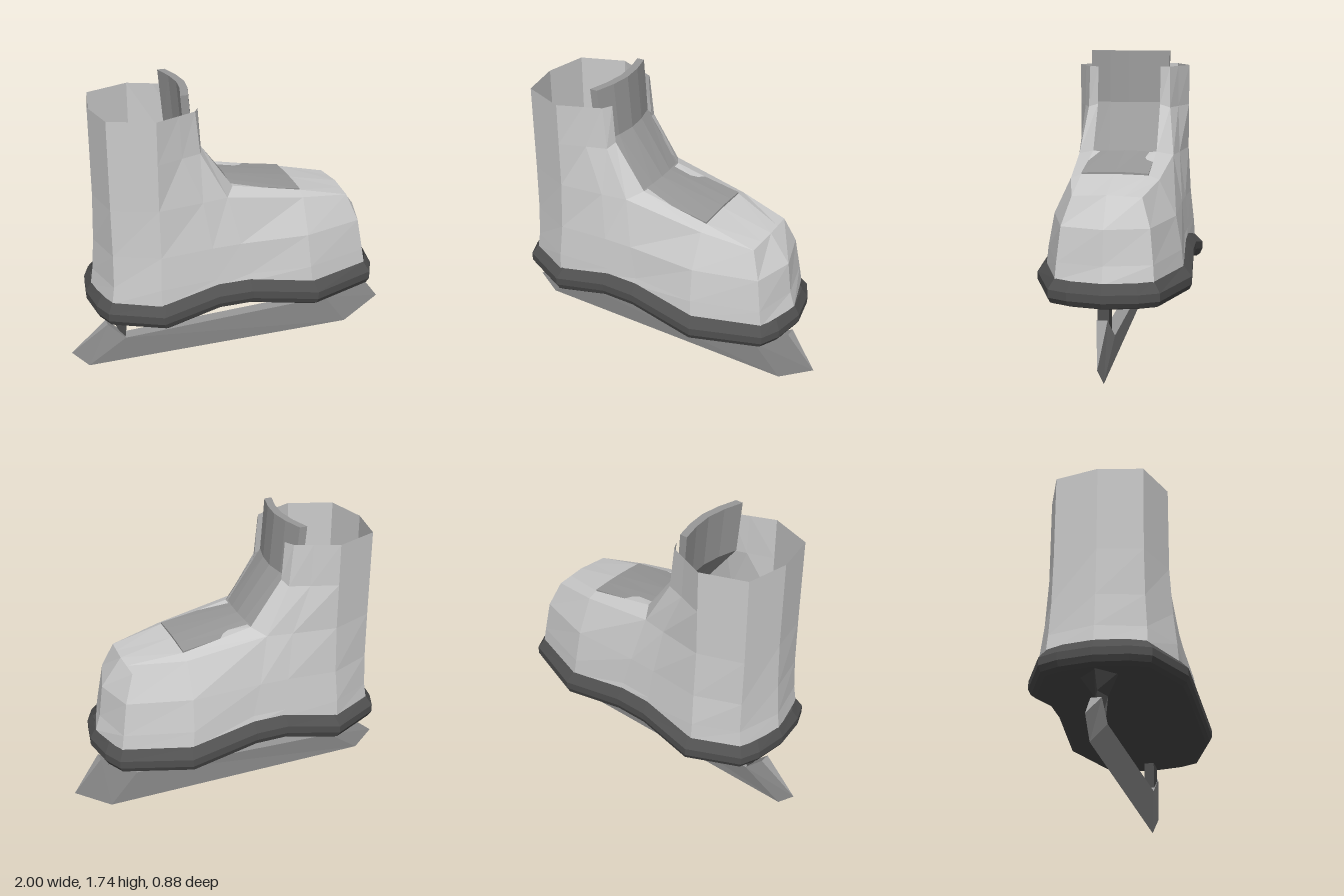
import * as THREE from 'three';

const material = (color) =>
  new THREE.MeshStandardMaterial({ color, flatShading: true, side: THREE.DoubleSide });

// Faceted surface through rows of [x, y, z] points
function surface(name, rows, mat) {
  const cols = rows[0].length;
  const index = [];
  for (let r = 0; r < rows.length - 1; r++) {
    for (let c = 0; c < cols - 1; c++) {
      const a = r * cols + c, e = a + cols;
      index.push(a, a + 1, e + 1, a, e + 1, e);
    }
  }
  const geo = new THREE.BufferGeometry();
  geo.setAttribute('position', new THREE.Float32BufferAttribute(rows.flat(2), 3));
  geo.setIndex(index);
  geo.computeVertexNormals();
  const mesh = new THREE.Mesh(geo, mat);
  mesh.name = name;
  return mesh;
}

const mirror = (pts) => pts.map(([x, y, z]) => [x, y, -z]);
// Half row starting on the centre plane -> full row from -z to +z
const across = (half) => [...mirror(half).slice(1).reverse(), ...half];

export function createModel() {
  const model = new THREE.Group();
  model.name = 'iceSkate';
  const leather = material(0xcccccc);
  const rubber = material(0x505050);
  const felt = material(0x999999);
  const steel = material(0x999999);

  // Foot: rings stacked from the sole to the instep, heel to toe
  const foot = [
    [[-0.86, 0.56, 0], [-0.79, 0.56, 0.27], [-0.53, 0.56, 0.39], [-0.2, 0.625, 0.375],
      [0, 0.625, 0.375], [0.38, 0.56, 0.39], [0.765, 0.56, 0.267], [0.845, 0.56, 0]],
    [[-0.845, 0.66, 0], [-0.775, 0.66, 0.265], [-0.53, 0.66, 0.383], [-0.2, 0.67, 0.37],
      [0, 0.67, 0.365], [0.37, 0.66, 0.38], [0.75, 0.655, 0.26], [0.815, 0.655, 0]],
    [[-0.83, 0.85, 0], [-0.77, 0.85, 0.255], [-0.52, 0.85, 0.362], [-0.22, 0.86, 0.35],
      [-0.05, 0.86, 0.345], [0.36, 0.85, 0.345], [0.72, 0.845, 0.24], [0.79, 0.845, 0]],
    [[-0.82, 1.13, 0], [-0.77, 1.13, 0.25], [-0.52, 1.13, 0.345], [-0.26, 1.13, 0.31],
      [-0.11, 1.13, 0.285], [0.36, 1.05, 0.25], [0.66, 1.0, 0.19], [0.67, 1.01, 0]],
  ];
  model.add(surface('foot', foot.map(across), leather));

  // Shaft: open at the front, each edge ending in a narrow lip
  const shaft = [
    [...foot[3].slice(0, 5), [-0.05, 1.155, 0.19]],
    [[-0.82, 1.4, 0], [-0.77, 1.4, 0.25], [-0.52, 1.4, 0.345], [-0.37, 1.4, 0.29],
      [-0.255, 1.4, 0.25], [-0.235, 1.42, 0.19]],
    [[-0.82, 1.645, 0], [-0.77, 1.645, 0.25], [-0.52, 1.645, 0.345], [-0.38, 1.645, 0.287],
      [-0.28, 1.645, 0.245], [-0.25, 1.645, 0.19]],
  ];
  model.add(surface('shaft', shaft.map(across), leather));

  // Vamp: the top of the foot from the throat to the toe
  const vamp = [
    [[-0.05, 1.14, 0], [-0.05, 1.155, 0.19], [-0.11, 1.13, 0.285]],
    [[0.36, 1.078, 0], [0.36, 1.073, 0.19], [0.36, 1.05, 0.25]],
    [[0.67, 1.01, 0], [0.665, 1.005, 0.095], [0.66, 1.0, 0.19]],
  ];
  model.add(surface('vamp', vamp.map(across), leather));

  // Tongue: curved padded strip [x, y, half width, side drop x, y, thickness x, y]
  const tongue = new THREE.Group();
  tongue.name = 'tongue';
  const skins = [
    [-0.27, 1.74, 0.24, -0.045, 0, -0.045, 0],
    [-0.245, 1.43, 0.235, -0.045, 0, -0.045, 0],
    [-0.045, 1.16, 0.19, -0.02, -0.01, -0.03, -0.04],
    [0.36, 1.09, 0.19, 0, -0.008, 0, -0.03],
  ].map(([x, y, w, dx, dy, tx, ty]) => {
    const half = [[0, 0], [0.3, 0.5], [1, 1]].map(([d, s]) => [x + dx * d, y + dy * d, w * s]);
    const outer = across(half);
    return { outer, inner: outer.map(([px, py, pz]) => [px + tx, py + ty, pz]) };
  });
  const tip = skins[skins.length - 1];
  tongue.add(
    surface('tonguePad', skins.map(({ outer, inner }) =>
      [...outer, ...[...inner].reverse(), outer[0]]), felt),
    surface('tongueTop', [skins[0].inner, skins[0].outer], felt),
    surface('tongueTip', [tip.outer, tip.inner], felt),
  );
  model.add(tongue);

  // Sole: outline [x, z, arch lift] stacked in layers [x scale, z scale, y]
  const outline = [
    [-0.89, 0, 0], [-0.865, 0.19, 0], [-0.82, 0.3, 0], [-0.53, 0.44, 0], [-0.2, 0.42, 0.068],
    [0, 0.42, 0.068], [0.4, 0.44, 0], [0.79, 0.3, 0], [0.845, 0.19, 0], [0.88, 0, 0],
  ];
  const layers = [
    [0.94, 0.92, 0.427], [0.98, 0.97, 0.44], [1, 1, 0.47], [1, 1, 0.515], [0.963, 0.89, 0.57],
  ].map(([sx, sz, y]) => outline.map(([x, z, lift]) => [x * sx, y + lift, z * sz]));
  model.add(surface('soleRim', layers.map(across), rubber));
  model.add(surface('soleBottom', [mirror(layers[0]), layers[0]], rubber));

  // Heel strut: triangular post tapering down to the blade
  const heelStrut = [
    [[-0.69, 0.17, 0], [-0.675, 0.17, 0.025], [-0.675, 0.17, 0]],
    [[-0.76, 0.33, 0], [-0.657, 0.335, 0.035], [-0.657, 0.335, 0]],
    [[-0.83, 0.44, 0], [-0.725, 0.44, 0.11], [-0.725, 0.44, 0]],
  ];
  model.add(surface('heelStrut', heelStrut.map(across), rubber));
  model.add(surface('heelStrutTop', [mirror(heelStrut[2]), heelStrut[2]].reverse(), rubber));

  // Toe strut
  const plate = new THREE.Shape([[0.685, 0.24], [0.79, 0.32], [0.79, 0.45], [0.675, 0.45]]
    .map(([x, y]) => new THREE.Vector2(x, y)));
  const toeStrut = new THREE.Mesh(
    new THREE.ExtrudeGeometry(plate, { depth: 0.06, bevelEnabled: false }).translate(0, 0, -0.03),
    rubber);
  toeStrut.name = 'toeStrut';
  model.add(toeStrut);

  // Blade: wedge with a sharp lower edge and a flat spine, upturned at both ends
  const edge = [[-1, 0.11], [-0.9, 0], [0.78, 0], [1, 0.15]];
  const spine = [[-0.78, 0.283, 0.03], [-0.675, 0.175, 0.038], [0.62, 0.223, 0.038], [0.835, 0.37, 0.03]];
  const blade = spine.map(([x, y, z], i) =>
    [[x, y, -z], [x, y, z], [...edge[i], 0], [x, y, -z]]);
  const cap = ([a, b, c]) => [[a, b], [c, c]];
  model.add(surface('blade', blade, steel));
  model.add(surface('bladeHeelEnd', cap(blade[0]).reverse(), steel));
  model.add(surface('bladeToeEnd', cap(blade[3]), steel));

  return model;
}
